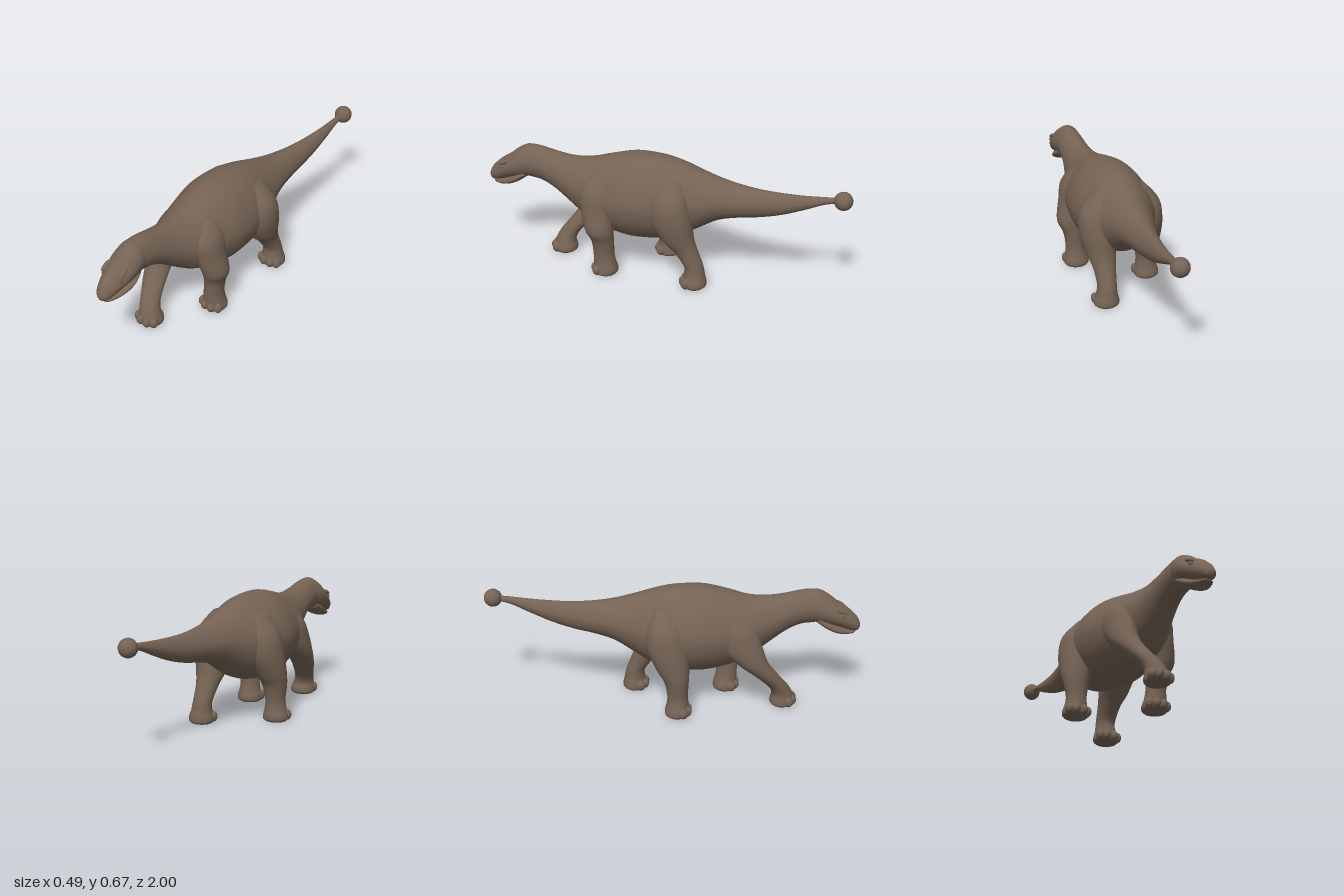
import * as THREE from 'three';

const hide = new THREE.MeshStandardMaterial({ color: 0x756354 });
hide.name = 'brown hide';

// Smooth interpolation of a table of cross-sections, t from 0 to 1
function sampleRows(rows, t) {
  const f = t * (rows.length - 1);
  const i = Math.min(Math.floor(f), rows.length - 2), u = f - i;
  const at = k => rows[Math.max(0, Math.min(rows.length - 1, k))];
  return rows[i].map((_, c) => {
    const a = at(i - 1)[c], b = at(i)[c], d = at(i + 1)[c], e = at(i + 2)[c];
    return b + 0.5 * u * (d - a + u * (2 * a - 5 * b + 4 * d - e + u * (3 * (b - d) + e - a)));
  });
}

// Closed skin through rings; place(row, cos, sin) returns one point of a ring
function loft(name, rows, place, steps = 5, sides = 40) {
  const pos = [], index = [], count = (rows.length - 1) * steps;
  for (let i = 0; i <= count; i++) {
    const row = sampleRows(rows, i / count);
    for (let j = 0; j < sides; j++) {
      const a = (j / sides) * Math.PI * 2;
      pos.push(...place(row, Math.cos(a), Math.sin(a)));
    }
  }
  for (let i = 0; i < count; i++) for (let j = 0; j < sides; j++) {
    const k = (j + 1) % sides, a = i * sides + j, c = i * sides + k;
    index.push(a, a + sides, c, c, a + sides, c + sides);
  }
  // End caps
  const last = count * sides;
  for (let j = 1; j < sides - 1; j++) {
    index.push(0, j, j + 1, last, last + j + 1, last + j);
  }
  const g = new THREE.BufferGeometry();
  g.setAttribute('position', new THREE.Float32BufferAttribute(pos, 3));
  g.setIndex(index);
  g.computeVertexNormals();
  const m = new THREE.Mesh(g, hide);
  m.name = name;
  return m;
}

// Row [z, centre x, top, bottom, half width], slightly pointed towards the back
const alongZ = pinch => ([z, cx, top, bot, w], c, s) => [
  cx + Math.max(w, 0.002) * c * (1 - pinch * Math.max(0, s)),
  (top + bot) / 2 + (top - bot) / 2 * s, z];

// Row [y, centre x, centre z, radius x, radius z]
const alongY = ([y, cx, cz, rx, rz], c, s) => [cx + rx * c, y, cz - rz * s];

function blob(name, x, y, z, sx, sy, sz, tilt = 0) {
  const m = new THREE.Mesh(new THREE.SphereGeometry(1, 24, 16), hide);
  m.name = name;
  m.position.set(x, y, z);
  m.scale.set(sx, sy, sz);
  m.rotation.x = tilt;
  return m;
}

// Leg with a spreading foot and four rounded toes
function leg(name, rows, footX, footZ) {
  const g = new THREE.Group();
  g.name = name;
  const foot = [
    [0.035, footX, footZ - 0.005, 0.067, 0.064],
    [0.012, footX, footZ - 0.005, 0.068, 0.064],
    [0.001, footX, footZ - 0.005, 0.058, 0.054],
  ];
  g.add(loft(name + 'Skin', [...rows, ...foot], alongY));
  [-0.95, -0.34, 0.34, 0.95].forEach(a => g.add(blob('toe',
    footX + Math.sin(a) * 0.063, 0.03, footZ + Math.cos(a) * 0.05, 0.022, 0.029, 0.026)));
  return g;
}

export function createModel() {
  const model = new THREE.Group();
  model.name = 'longTailedDinosaur';

  // Neck, trunk and tail in one skin
  model.add(loft('body', [
    [0.80, 0.035, 0.61, 0.47, 0.06],
    [0.75, 0.035, 0.643, 0.46, 0.072],
    [0.68, 0.035, 0.638, 0.45, 0.076],
    [0.60, 0.033, 0.62, 0.41, 0.085],
    [0.50, 0.03, 0.606, 0.335, 0.11],
    [0.40, 0.022, 0.612, 0.265, 0.155],
    [0.30, 0.02, 0.64, 0.225, 0.185],
    [0.18, 0.015, 0.668, 0.2, 0.21],
    [0.08, 0.012, 0.671, 0.2, 0.212],
    [-0.02, 0.012, 0.662, 0.215, 0.2],
    [-0.12, 0.012, 0.638, 0.25, 0.172],
    [-0.20, 0.015, 0.614, 0.295, 0.138],
    [-0.30, 0.02, 0.587, 0.355, 0.106],
    [-0.40, 0.026, 0.57, 0.385, 0.081],
    [-0.52, 0.033, 0.56, 0.408, 0.058],
    [-0.64, 0.042, 0.561, 0.443, 0.043],
    [-0.76, 0.049, 0.568, 0.493, 0.029],
    [-0.86, 0.052, 0.578, 0.538, 0.018],
    [-0.94, 0.053, 0.584, 0.556, 0.013],
  ], alongZ(0.14), 5, 56));
  model.add(blob('tailBall', 0.053, 0.57, -0.951, 0.048, 0.048, 0.048));

  // Head: skull, lower jaw, eyes and brows
  const head = new THREE.Group();
  head.name = 'head';
  model.add(head);
  head.add(loft('skull', [
    [0.70, 0.036, 0.625, 0.49, 0.055],
    [0.76, 0.036, 0.644, 0.462, 0.076],
    [0.82, 0.036, 0.617, 0.452, 0.081],
    [0.87, 0.036, 0.578, 0.442, 0.075],
    [0.92, 0.036, 0.546, 0.424, 0.06],
    [0.96, 0.036, 0.512, 0.412, 0.046],
    [0.985, 0.036, 0.483, 0.413, 0.031],
    [0.999, 0.036, 0.452, 0.432, 0.01],
  ].reverse(), alongZ(0.12)));
  head.add(loft('lowerJaw', [
    [0.974, 0.036, 0.41, 0.404, 0.01],
    [0.96, 0.036, 0.418, 0.397, 0.028],
    [0.92, 0.036, 0.432, 0.394, 0.045],
    [0.87, 0.036, 0.455, 0.404, 0.062],
    [0.82, 0.036, 0.485, 0.428, 0.071],
    [0.77, 0.036, 0.51, 0.462, 0.06],
  ], alongZ(0)));
  for (const side of [-1, 1]) {
    head.add(blob('eye', 0.036 + side * 0.055, 0.514, 0.902, 0.012, 0.014, 0.016));
    head.add(blob('brow', 0.036 + side * 0.054, 0.542, 0.888, 0.014, 0.011, 0.036, 0.45));
  }

  // Legs in mid stride
  model.add(leg('rightFrontLeg', [
    [0.57, -0.06, 0.29, 0.03, 0.05],
    [0.48, -0.085, 0.32, 0.07, 0.11],
    [0.38, -0.1, 0.36, 0.07, 0.115],
    [0.28, -0.1, 0.425, 0.068, 0.085],
    [0.20, -0.08, 0.5, 0.061, 0.064],
    [0.12, -0.05, 0.57, 0.052, 0.055],
    [0.07, -0.034, 0.595, 0.056, 0.056],
  ], -0.028, 0.6));
  model.add(leg('leftFrontLeg', [
    [0.57, 0.12, 0.3, 0.03, 0.05],
    [0.48, 0.14, 0.33, 0.07, 0.1],
    [0.38, 0.153, 0.33, 0.074, 0.092],
    [0.27, 0.174, 0.315, 0.07, 0.076],
    [0.20, 0.16, 0.302, 0.056, 0.062],
    [0.12, 0.151, 0.3, 0.052, 0.057],
    [0.07, 0.149, 0.296, 0.058, 0.06],
  ], 0.147, 0.295));
  model.add(leg('leftHindLeg', [
    [0.59, 0.1, -0.06, 0.05, 0.06],
    [0.49, 0.14, -0.065, 0.093, 0.1],
    [0.38, 0.15, -0.075, 0.095, 0.113],
    [0.27, 0.142, -0.11, 0.08, 0.09],
    [0.20, 0.138, -0.155, 0.061, 0.066],
    [0.12, 0.14, -0.2, 0.052, 0.052],
    [0.07, 0.143, -0.207, 0.056, 0.056],
  ], 0.145, -0.202));
  model.add(leg('rightHindLeg', [
    [0.59, -0.08, -0.03, 0.05, 0.06],
    [0.49, -0.118, -0.03, 0.093, 0.1],
    [0.38, -0.14, -0.02, 0.093, 0.11],
    [0.27, -0.156, 0.008, 0.082, 0.088],
    [0.20, -0.166, 0.028, 0.068, 0.066],
    [0.12, -0.168, 0.035, 0.054, 0.055],
    [0.07, -0.17, 0.035, 0.058, 0.058],
  ], -0.172, 0.037));

  return model;
}
